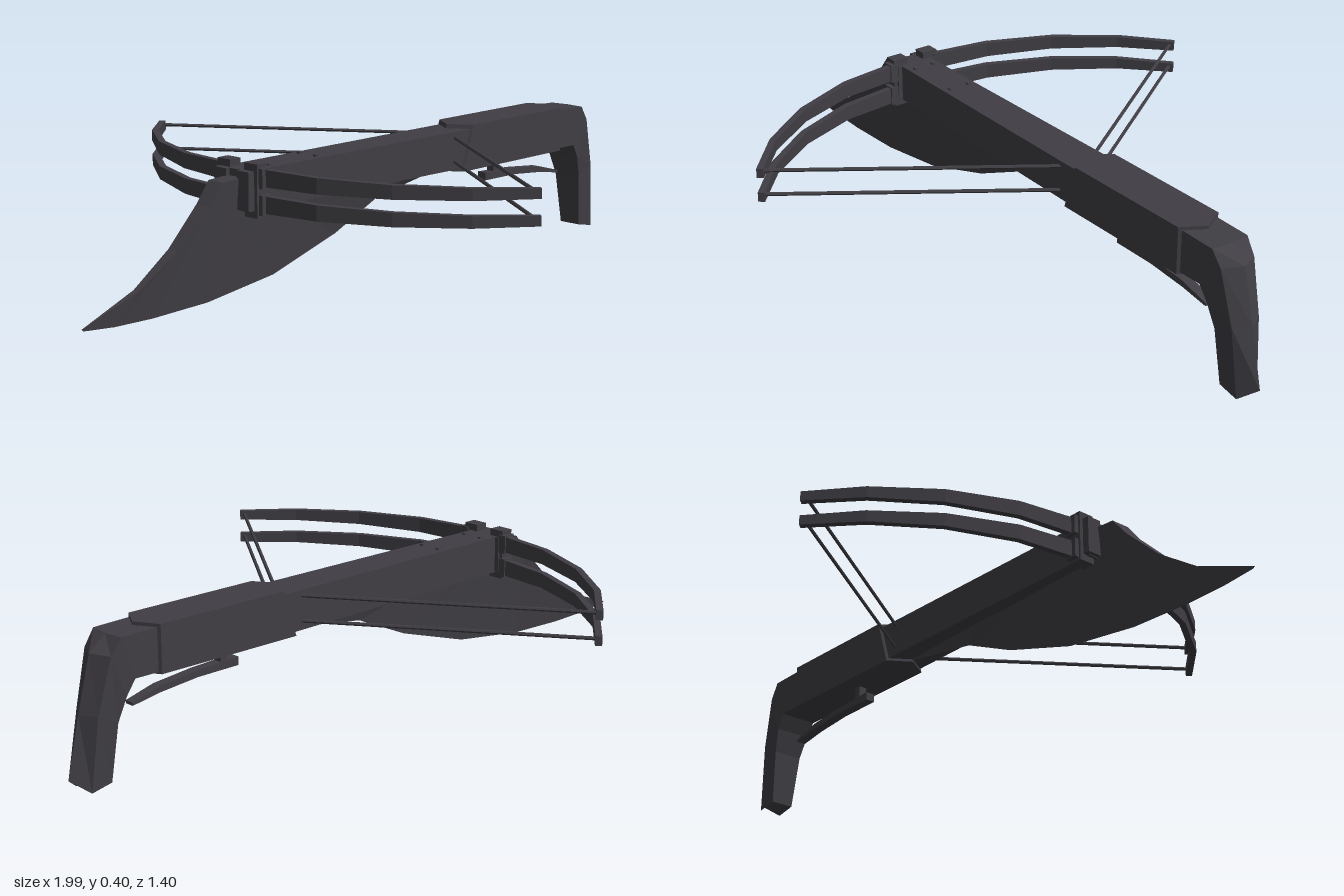
import * as THREE from 'three';

const steel = new THREE.MeshStandardMaterial({ color: 0x403e44 });
steel.name = 'dark gunmetal';
steel.flatShading = true;

// Skin a row of equal-length loops, capping both ends; winding is fixed by signed volume
function loft(sections) {
  const tris = [], n = sections[0].length, last = sections.length - 1;
  for (let s = 0; s < last; s++) {
    const a = sections[s], b = sections[s + 1];
    for (let i = 0; i < n; i++) {
      const j = (i + 1) % n;
      tris.push([a[i], a[j], b[j]], [a[i], b[j], b[i]]);
    }
  }
  for (let i = 1; i < n - 1; i++) {
    tris.push([sections[0][0], sections[0][i + 1], sections[0][i]]);
    tris.push([sections[last][0], sections[last][i], sections[last][i + 1]]);
  }
  let volume = 0;
  const v = (p) => new THREE.Vector3(...p);
  for (const [a, b, c] of tris) volume += v(a).dot(v(b).cross(v(c)));
  if (volume < 0) tris.forEach((t) => t.reverse());
  const g = new THREE.BufferGeometry();
  g.setAttribute('position', new THREE.Float32BufferAttribute(tris.flat(2), 3));
  g.computeVertexNormals();
  return g;
}

export function createModel() {
  const model = new THREE.Group();
  model.name = 'bladedCrossbow';

  const add = (name, geometry, parent = model) => {
    const m = new THREE.Mesh(geometry, steel);
    m.name = name;
    parent.add(m);
    return m;
  };
  const box = (name, x0, x1, y0, y1, z0, z1, parent) => {
    const m = add(name, new THREE.BoxGeometry(x1 - x0, y1 - y0, z1 - z0), parent);
    m.position.set((x0 + x1) / 2, (y0 + y1) / 2, (z0 + z1) / 2);
    return m;
  };

  // Blade: thick spine on top, sharp edge below [spine x, y, edge x, y, half width]
  const blade = [
    [-1, 0.072, -0.995, 0.067, 0.001],
    [-0.83, 0.135, -0.9, 0.058, 0.010],
    [-0.71, 0.215, -0.78, 0.055, 0.017],
    [-0.61, 0.31, -0.6, 0.06, 0.024],
    [-0.565, 0.365, -0.37, 0.09, 0.027],
    [-0.48, 0.37, -0.14, 0.16, 0.027],
    [-0.1, 0.34, 0.03, 0.235, 0.027],
    [0.25, 0.32, 0.29, 0.277, 0.027],
  ];
  add('blade', loft(blade.map(([sx, sy, ex, ey, w]) =>
    [[sx, sy, w], [sx, sy, -w], [ex, ey, 0]])));

  // Fore stock, widening a little to the rear
  const ring = (x, y0, y1, w) => [[x, y0, -w], [x, y0, w], [x, y1, w], [x, y1, -w]];
  add('foreStock', loft([ring(-0.5, 0.285, 0.388, 0.049), ring(0.36, 0.278, 0.386, 0.057)]));
  for (const x of [-0.41, -0.24]) {
    for (const z of [-0.03, 0.03]) box('stockPin', x - 0.006, x + 0.006, 0.38, 0.392, z - 0.005, z + 0.005);
  }

  // Receiver, pointed at both ends in plan with a slanted nose
  const plan = (y, nose) => [
    [nose, y, 0], [nose + 0.042, y, 0.064], [0.75, y, 0.064],
    [0.787, y, 0], [0.75, y, -0.064], [nose + 0.042, y, -0.064],
  ];
  add('receiver', loft([plan(0.27, 0.272), plan(0.398, 0.312)]));

  // Grip: flat front and sides with a ridge down the back
  const grip = [
    // front x, y, side corner x, y, ridge x, y, half width
    [0.74, 0.275, 0.74, 0.39, 0.74, 0.39, 0.056],
    [0.825, 0.275, 0.862, 0.387, 0.868, 0.387, 0.056],
    [0.85, 0.235, 0.892, 0.345, 0.918, 0.347, 0.053],
    [0.872, 0.17, 0.93, 0.2, 0.957, 0.2, 0.044],
    [0.89, 0.018, 0.95, 0.006, 0.994, 0.04, 0.034],
  ];
  add('grip', loft(grip.map(([fx, fy, mx, my, bx, by, w]) =>
    [[fx, fy, -w], [fx, fy, w], [mx, my, w], [bx, by, 0], [mx, my, -w]])));

  // Trigger lever and its post
  const lever = [[0.468, 0.215, 0.238], [0.6, 0.214, 0.232], [0.72, 0.203, 0.22], [0.805, 0.189, 0.197]];
  add('triggerLever', loft(lever.map(([x, y0, y1]) => ring(x, y0, y1, 0.014))));
  box('triggerPost', 0.505, 0.525, 0.23, 0.275, -0.012, 0.012);

  // Paired bow limbs, mounts and strings on each side
  const path = [[-0.472, 0.03], [-0.445, 0.24], [-0.373, 0.422], [-0.262, 0.58], [-0.138, 0.692]];
  for (const side of [-1, 1]) {
    const bow = new THREE.Group();
    bow.name = side > 0 ? 'leftBow' : 'rightBow';
    model.add(bow);

    const span = (a, b) => [Math.min(side * a, side * b), Math.max(side * a, side * b)];
    box('limbClamp', -0.492, -0.456, 0.268, 0.407, ...span(0.026, 0.072), bow);
    box('limbMount', -0.512, -0.45, 0.287, 0.388, ...span(0.02, 0.062), bow);

    for (const y of [0.302, 0.37]) {
      box('limbSocket', -0.486, -0.452, y - 0.026, y + 0.026, ...span(0.06, 0.085), bow);
      const limb = path.map(([x, z], i) => {
        const [px, pz] = path[Math.max(i - 1, 0)];
        const [qx, qz] = path[Math.min(i + 1, path.length - 1)];
        const len = Math.hypot(qx - px, qz - pz);
        const nx = (qz - pz) / len * 0.009, nz = -(qx - px) / len * 0.009;
        const h = 0.023 - i * 0.0025;
        return [
          [x - nx, y - h, side * (z - nz)], [x + nx, y - h, side * (z + nz)],
          [x + nx, y + h, side * (z + nz)], [x - nx, y + h, side * (z - nz)],
        ];
      });
      add('limb', loft(limb), bow);

      const from = new THREE.Vector3(-0.145, y + 0.003, side * 0.682);
      const to = new THREE.Vector3(0.29, y, side * 0.045);
      const string = add('string', new THREE.CylinderGeometry(0.005, 0.005, from.distanceTo(to), 6), bow);
      string.position.copy(from).lerp(to, 0.5);
      string.quaternion.setFromUnitVectors(new THREE.Vector3(0, 1, 0), to.sub(from).normalize());
    }
  }
  return model;
}
